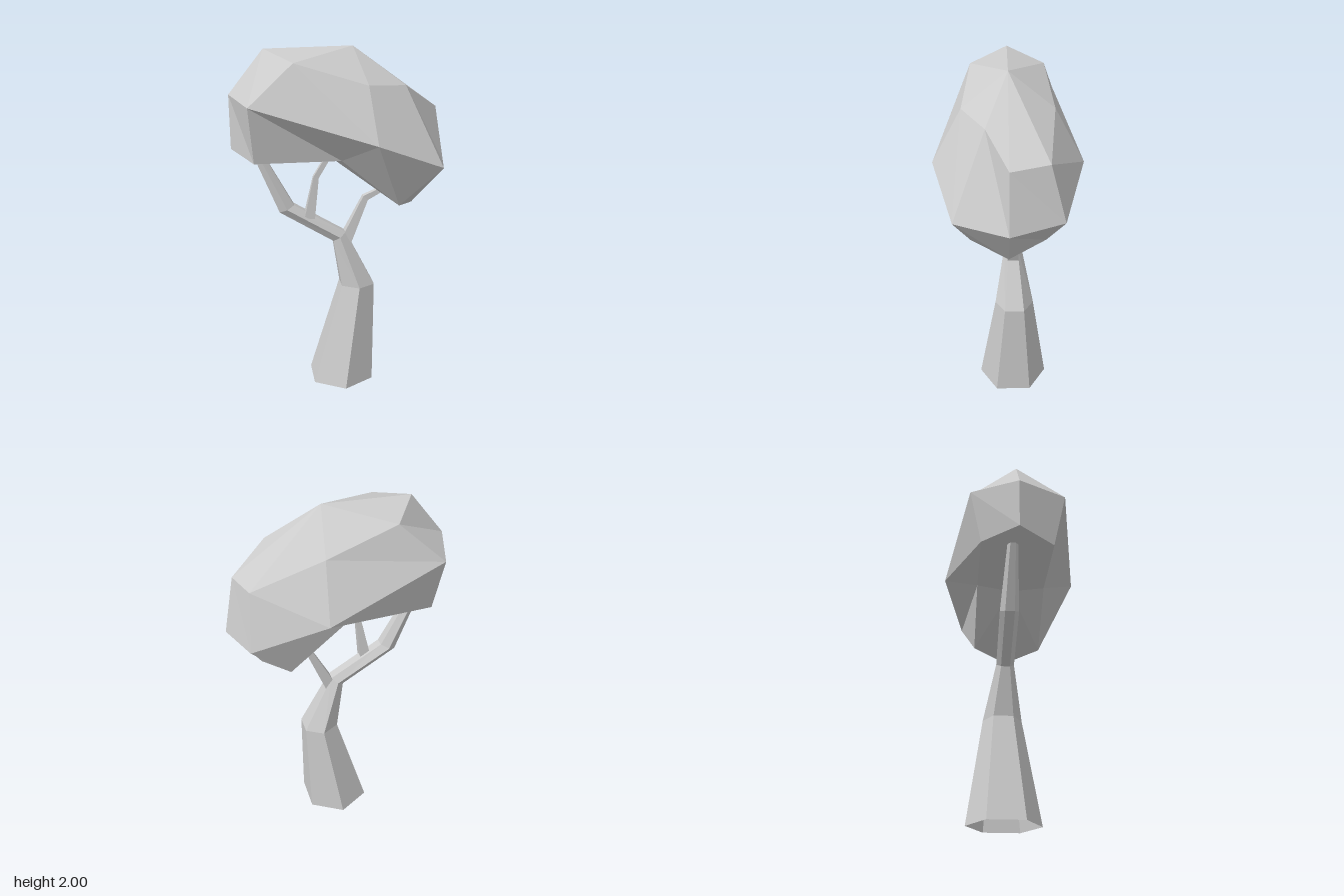
import * as THREE from 'three';

// Skin a stack of equal-length rings (bottom to top, each running from +x towards +z)
function loft(name, rings) {
  const pos = [];
  const n = rings[0].length;
  for (let i = 0; i < rings.length - 1; i++) {
    for (let j = 0; j < n; j++) {
      const k = (j + 1) % n;
      const a = rings[i][j], b = rings[i][k], c = rings[i + 1][j], d = rings[i + 1][k];
      if (c !== d) pos.push(...a, ...c, ...d);
      if (a !== b) pos.push(...a, ...d, ...b);
    }
  }
  const geo = new THREE.BufferGeometry();
  geo.setAttribute('position', new THREE.Float32BufferAttribute(pos, 3));
  geo.computeVertexNormals();
  const mat = new THREE.MeshStandardMaterial({ color: 0xcccccc, flatShading: true, side: THREE.DoubleSide });
  const mesh = new THREE.Mesh(geo, mat);
  mesh.name = name;
  return mesh;
}

// Regular ring at (x, y, z), leaning in the xy plane by tilt radians towards -x
function ring(sides, x, y, z, r, tilt = 0, turn = 0) {
  return Array.from({ length: sides }, (_, j) => {
    const a = (j / sides) * Math.PI * 2 + turn;
    const u = r * Math.cos(a);
    return [x + u * Math.cos(tilt), y + u * Math.sin(tilt), z + r * Math.sin(a)];
  });
}

// Eight-point canopy ring from its +z half, mirrored to -z
function mirrored(half) {
  return [...half, ...half.slice(1, -1).reverse().map(([x, y, z]) => [x, y, -z])];
}

export function createModel() {
  const tree = new THREE.Group();
  tree.name = 'tree';

  // Six-sided trunk bending into the main limb, open at the foot
  const hex = (x, y, z, r, tilt) => ring(6, x, y, z, r, tilt, Math.PI / 6);
  tree.add(loft('trunk', [
    hex(0.012, 0, -0.032, 0.204, 0),
    hex(0.107, 0.61, -0.037, 0.111, 0),
    hex(0.0, 0.915, -0.03, 0.051, 0.62),
    hex(-0.303, 1.1, -0.03, 0.053, 0.45),
    hex(-0.46, 1.43, -0.025, 0.03, 0.2),
  ]));

  // Thin four-sided side branches
  const square = (x, y, z, r, tilt) => ring(4, x, y, z, r, tilt, Math.PI / 4);
  tree.add(loft('middleBranch', [
    square(-0.175, 1.04, -0.015, 0.042, -0.1),
    square(-0.135, 1.28, -0.01, 0.022, -0.3),
    square(-0.05, 1.42, -0.01, 0.02, -0.6),
  ]));
  tree.add(loft('sideBranch', [
    square(0.04, 0.89, -0.03, 0.045, -0.4),
    square(0.155, 1.137, -0.04, 0.026, -0.75),
    square(0.31, 1.215, -0.03, 0.014, -1.1),
  ]));

  // Faceted canopy: bottom point, three rings, top point
  const lower = mirrored([[0.42, 1.11, 0], [0.3, 1.155, 0.2], [-0.02, 1.42, 0.2], [-0.485, 1.42, 0.2], [-0.6, 1.46, 0]]);
  const middle = mirrored([[0.6, 1.345, 0], [0.52, 1.38, 0.28], [0.14, 1.535, 0.397], [-0.51, 1.725, 0.265], [-0.6, 1.755, 0]]);
  const upper = mirrored([[0.54, 1.665, 0], [0.49, 1.68, 0.2], [0.115, 1.82, 0.24], [-0.27, 1.935, 0.2], [-0.41, 1.99, 0]]);
  upper[1] = [0.34, 1.8, 0.115]; // uneven shoulder facet
  const point = (p) => Array(8).fill(p);
  tree.add(loft('canopy', [point([-0.035, 1.38, 0]), lower, middle, upper, point([0.07, 2, 0])]));

  return tree;
}
